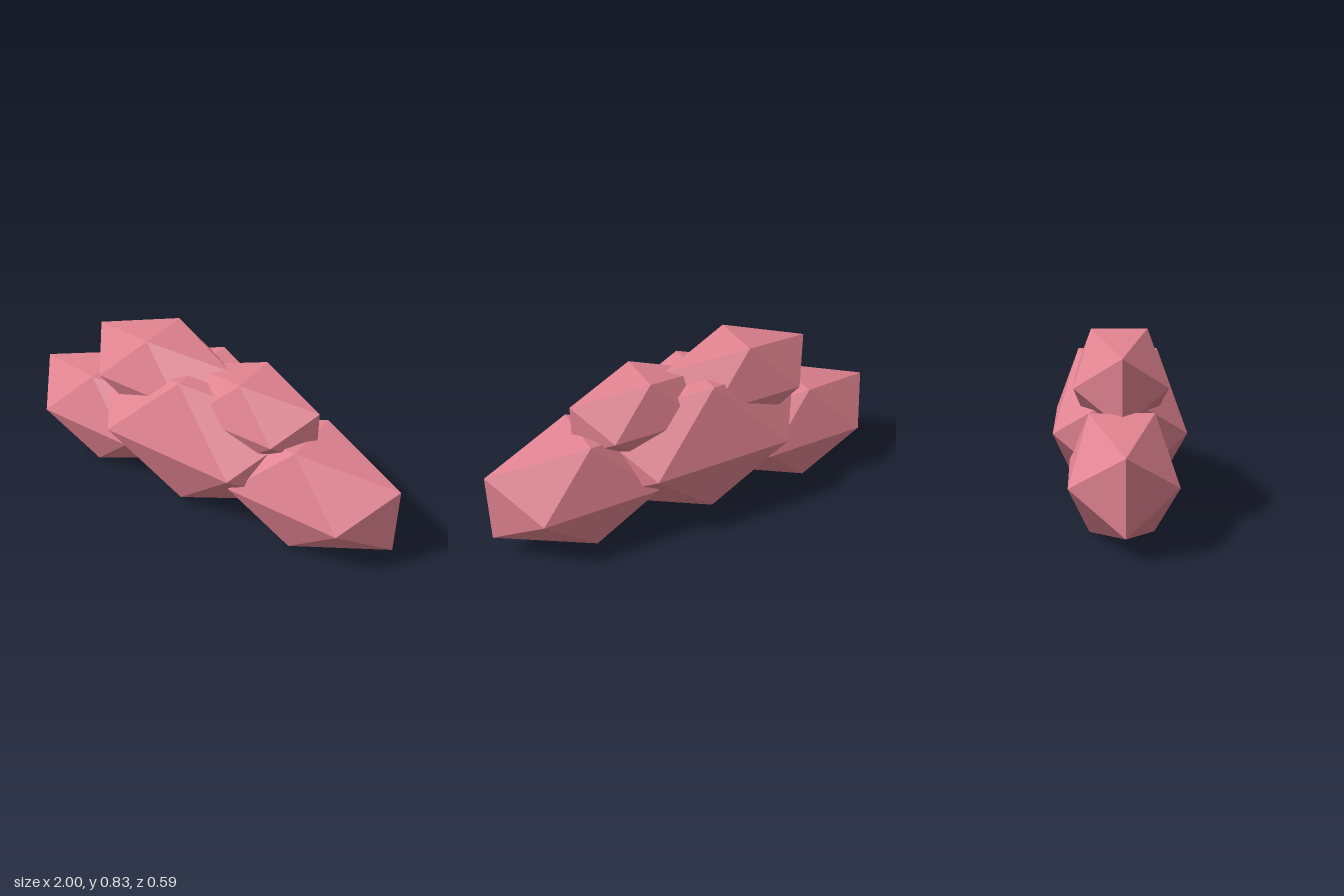
import * as THREE from 'three';

// One faceted puff: an icosahedron stretched sideways and flattened front to back
function makePuff(name, radius, x, y, material) {
  const geometry = new THREE.IcosahedronGeometry(radius, 0);
  geometry.rotateY(Math.PI / 2);
  geometry.scale(1.3, 0.8, 0.7);
  const puff = new THREE.Mesh(geometry, material);
  puff.name = name;
  puff.position.set(x, y, 0);
  return puff;
}

export function createModel() {
  const model = new THREE.Group();
  model.name = 'lowPolyCloud';

  const pink = new THREE.MeshStandardMaterial({ color: 0xe08290, flatShading: true });
  pink.name = 'rose pink';

  // name, radius, centre x, centre y
  const puffs = [
    ['centrePuff', 0.4946, -0.034, 0.378],
    ['lowerLeftPuff', 0.4023, 0.555, 0.287],
    ['lowerRightPuff', 0.373, -0.588, 0.254],
    ['upperRightPuff', 0.3395, -0.25, 0.595],
    ['upperLeftPuff', 0.307, 0.245, 0.565],
  ];
  for (const [name, radius, x, y] of puffs) {
    model.add(makePuff(name, radius, x, y, pink));
  }
  return model;
}
